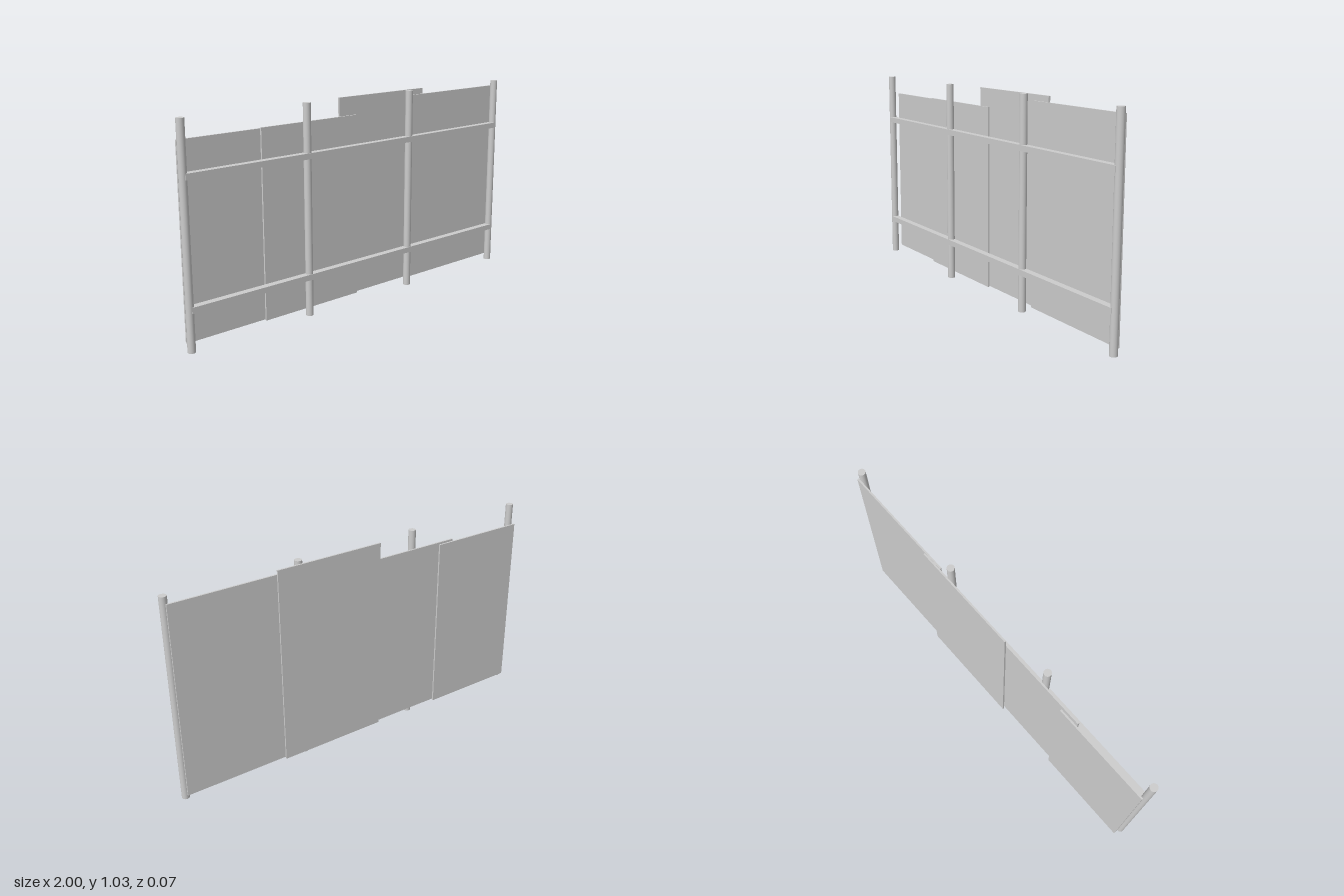
import * as THREE from 'three';

export function createModel() {
  const fence = new THREE.Group();
  fence.name = 'sheetFence';

  const metal = new THREE.MeshStandardMaterial({ color: 0xcccccc });
  metal.name = 'plain grey';

  const addPart = (name, geometry, x, y, z) => {
    const mesh = new THREE.Mesh(geometry, metal);
    mesh.name = name;
    mesh.position.set(x, y, z);
    fence.add(mesh);
  };

  // Box given by its limits on each axis
  const addBox = (name, [x0, x1], [y0, y1], [z0, z1]) =>
    addPart(name, new THREE.BoxGeometry(x1 - x0, y1 - y0, z1 - z0),
      (x0 + x1) / 2, (y0 + y1) / 2, (z0 + z1) / 2);

  // Four evenly spaced round posts
  const radius = 0.0185, height = 1.03, end = 1 - radius;
  const postGeometry = new THREE.CylinderGeometry(radius, radius, height, 24);
  for (let i = 0; i < 4; i++) {
    addPart('post' + (i + 1), postGeometry, -end + (i * 2 * end) / 3, height / 2, 0.0155);
  }

  // Two horizontal rails, just proud of the posts
  addBox('lowerRail', [-end, end], [0.183, 0.211], [0.002, 0.0365]);
  addBox('upperRail', [-end, end], [0.77, 0.798], [0.002, 0.0365]);

  // Overlapping sheets, alternating between two layers
  const rear = [-0.0325, -0.024], front = [-0.016, -0.0075];
  const bottom = 0.027;
  addBox('sheet1', [-end, -0.47], [bottom, 0.932], rear);
  addBox('sheet2', [-0.566, -0.003], [bottom, 0.938], front);
  addBox('sheet3', [-0.1, 0.462], [bottom, 1.027], rear);
  addBox('sheet4', [0.367, end], [bottom, 1.0], front);

  return fence;
}
